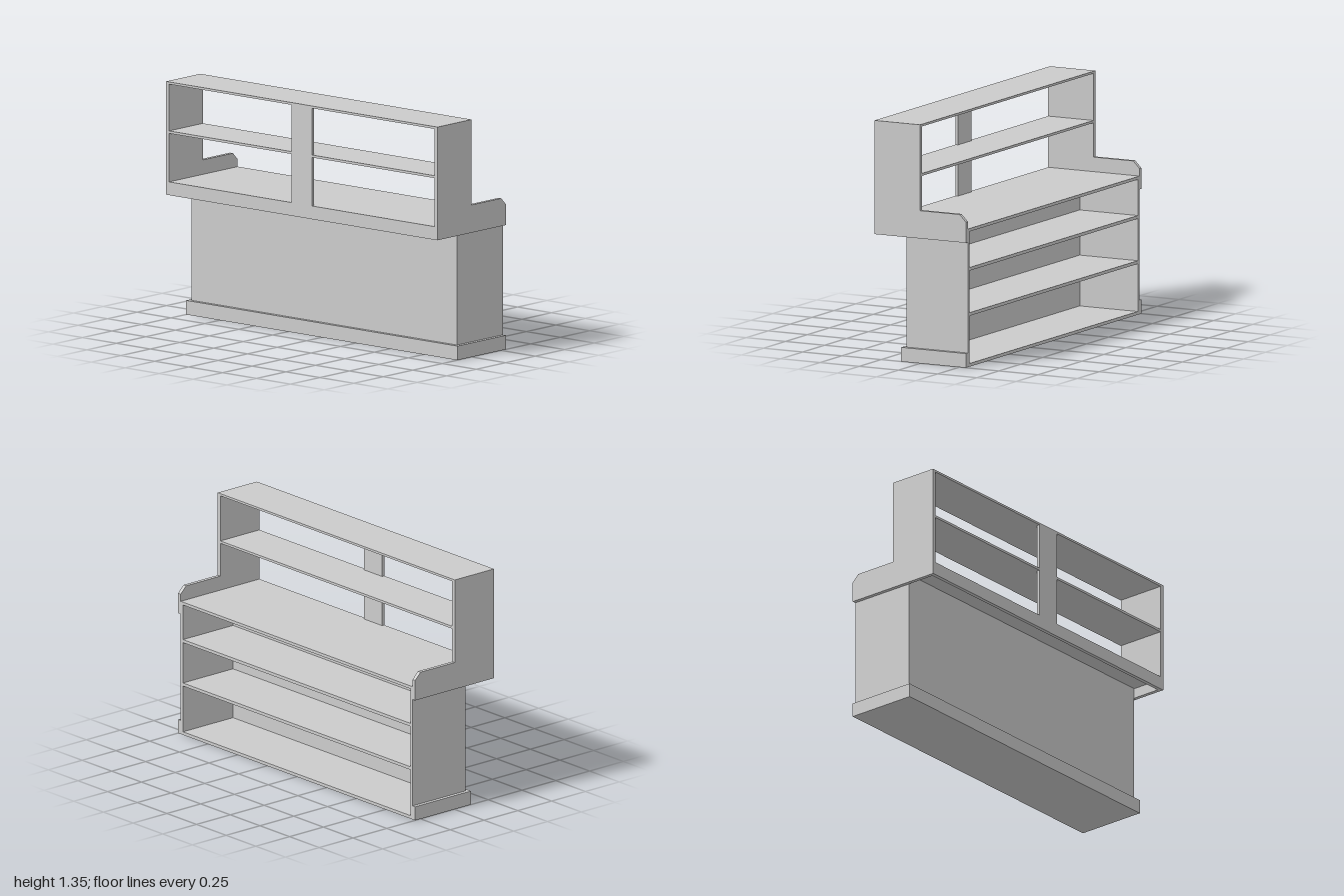
import * as THREE from 'three';

export function createModel() {
  const model = new THREE.Group();
  const material = new THREE.MeshStandardMaterial({ color: 0xcccccc, flatShading: true });

  // Box given by its limits on each axis
  function board(name, [x0, x1], [y0, y1], [z0, z1]) {
    const mesh = new THREE.Mesh(new THREE.BoxGeometry(x1 - x0, y1 - y0, z1 - z0), material);
    mesh.position.set((x0 + x1) / 2, (y0 + y1) / 2, (z0 + z1) / 2);
    mesh.name = name;
    model.add(mesh);
  }

  const BACK = -0.29, FRONT = 0.292;
  const T = 0.022;          // panel thickness
  const IN = 1 - T;         // inner face of the upper side panels
  const CAB = IN - 0.019;   // inner face of the cabinet sides

  // Stepped side panels with a chamfered rear corner
  const profile = new THREE.Shape([
    [FRONT, 0.705], [FRONT, 1.347], [0.003, 1.347], [0.003, 0.862],
    [-0.25, 0.862], [BACK, 0.822], [BACK, 0.705],
  ].map(([z, y]) => new THREE.Vector2(-z, y)));
  const sideGeometry = new THREE.ExtrudeGeometry(profile, { depth: T, bevelEnabled: false });
  sideGeometry.rotateY(Math.PI / 2);
  for (const [name, x] of [['leftSidePanel', IN], ['rightSidePanel', -1]]) {
    const side = new THREE.Mesh(sideGeometry, material);
    side.position.x = x;
    side.name = name;
    model.add(side);
  }

  // Upper open rack
  board('topBoard', [-IN, IN], [1.334, 1.347], [0.003, FRONT]);
  board('upperShelf', [-IN, IN], [1.055, 1.069], [0.003, FRONT - 0.016]);
  for (const s of [-1, 1]) {
    const xs = s < 0 ? [-IN, -0.076] : [0.076, IN];
    board('upperShelfLip', xs, [1.055, 1.069], [FRONT - 0.016, FRONT]);
  }
  board('centrePost', [-0.076, 0.076], [0.78, 1.334], [FRONT - 0.016, FRONT]);

  // Counter and its front apron
  board('counterTop', [-IN, IN], [0.763, 0.78], [BACK, FRONT - T]);
  board('frontApron', [-IN, IN], [0.705, 0.78], [FRONT - T, FRONT]);

  // Cabinet, open at the back
  board('cabinetFront', [-IN, IN], [0, 0.763], [0.08, 0.1]);
  board('cabinetLeftSide', [CAB, IN], [0, 0.763], [BACK, 0.08]);
  board('cabinetRightSide', [-IN, -CAB], [0, 0.763], [BACK, 0.08]);
  for (const [name, top] of [['cabinetFloor', 0.018], ['lowerShelf', 0.305], ['middleShelf', 0.56]]) {
    board(name, [-CAB, CAB], [top - 0.018, top], [BACK, 0.08]);
  }

  // Plinth around the front and sides
  board('plinthFront', [-1, 1], [0, 0.08], [0.1, 0.122]);
  board('plinthLeft', [IN, 1], [0, 0.08], [BACK, 0.1]);
  board('plinthRight', [-1, -IN], [0, 0.08], [BACK, 0.1]);

  return model;
}
